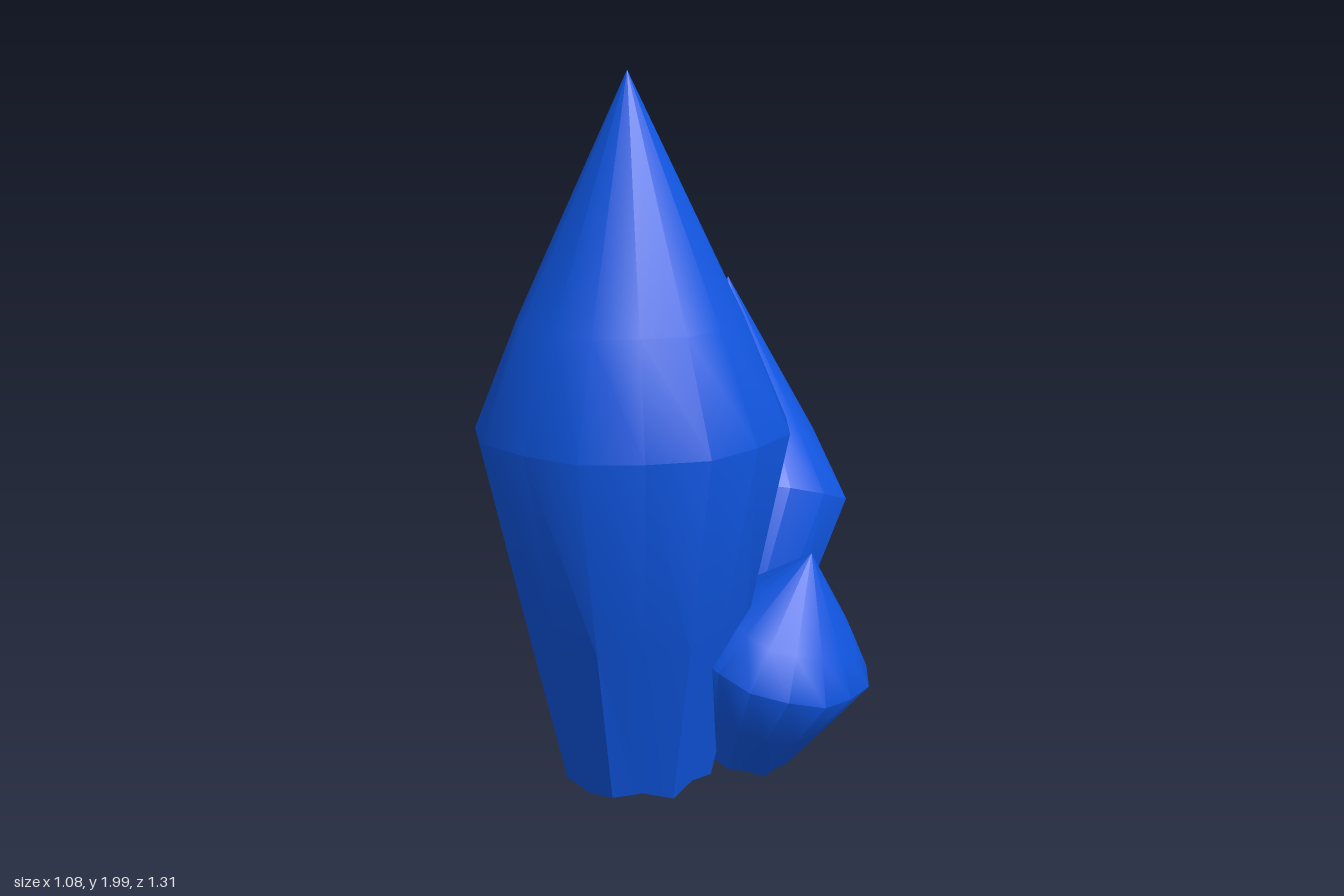
import * as THREE from 'three';
import { toCreasedNormals } from 'three/addons/utils/BufferGeometryUtils.js';

const SIDES = 16;
const GIRDLE = 0.43; // radius at the widest ring
const HEIGHT = 1.93;

// One pointed crystal standing on its origin: eight main ridges, softer bulges between.
function crystalGeometry() {
  const profile = [
    [0, 0.005], [0.215, 0], [0.315, 0.45], [GIRDLE, 1.0], [0.31, 1.29], [0, HEIGHT],
  ].map(([r, y]) => new THREE.Vector2(r, y));
  // how far each ring is pulled in between the ridges (strongest at the broken foot)
  const pull = [1, 0.92, 0.95, 0.965, 0.96, 1];
  const geometry = new THREE.LatheGeometry(profile, SIDES);
  const pos = geometry.attributes.position;
  for (let i = 0; i < pos.count; i++) {
    const ring = i % profile.length;
    const side = Math.floor(i / profile.length) % SIDES;
    if (side % 2) {
      pos.setX(i, pos.getX(i) * pull[ring]);
      pos.setZ(i, pos.getZ(i) * pull[ring]);
    }
    // uneven foot
    if (ring === 1) pos.setY(i, 0.012 * Math.sin(side * 2.4));
  }
  return toCreasedNormals(geometry, 0.6);
}

export function createModel() {
  const group = new THREE.Group();
  group.name = 'crystalCluster';
  const material = new THREE.MeshStandardMaterial({ color: 0x0f55e0 });
  const geometry = crystalGeometry();
  const up = new THREE.Vector3(0, 1, 0);

  // Stretch a crystal from its foot to its tip, with separate girdle radii
  function addCrystal(name, foot, tip, radiusX, radiusZ) {
    const axis = new THREE.Vector3(...tip).sub(new THREE.Vector3(...foot));
    const mesh = new THREE.Mesh(geometry, material);
    mesh.name = name;
    mesh.position.set(...foot);
    mesh.scale.set(radiusX / GIRDLE, axis.length() / HEIGHT, radiusZ / GIRDLE);
    mesh.quaternion.setFromUnitVectors(up, axis.normalize());
    group.add(mesh);
  }

  addCrystal('mainCrystal', [-0.1, 0.07, 0.22], [-0.11, 2, 0.22], 0.435, 0.43);
  addCrystal('backCrystal', [-0.07, 0.06, -0.115], [-0.07, 1.33, -0.635], 0.437, 0.29);
  addCrystal('smallCrystal', [0.17, 0.1, 0.075], [0.37, 0.71, 0.11], 0.275, 0.292);

  return group;
}
